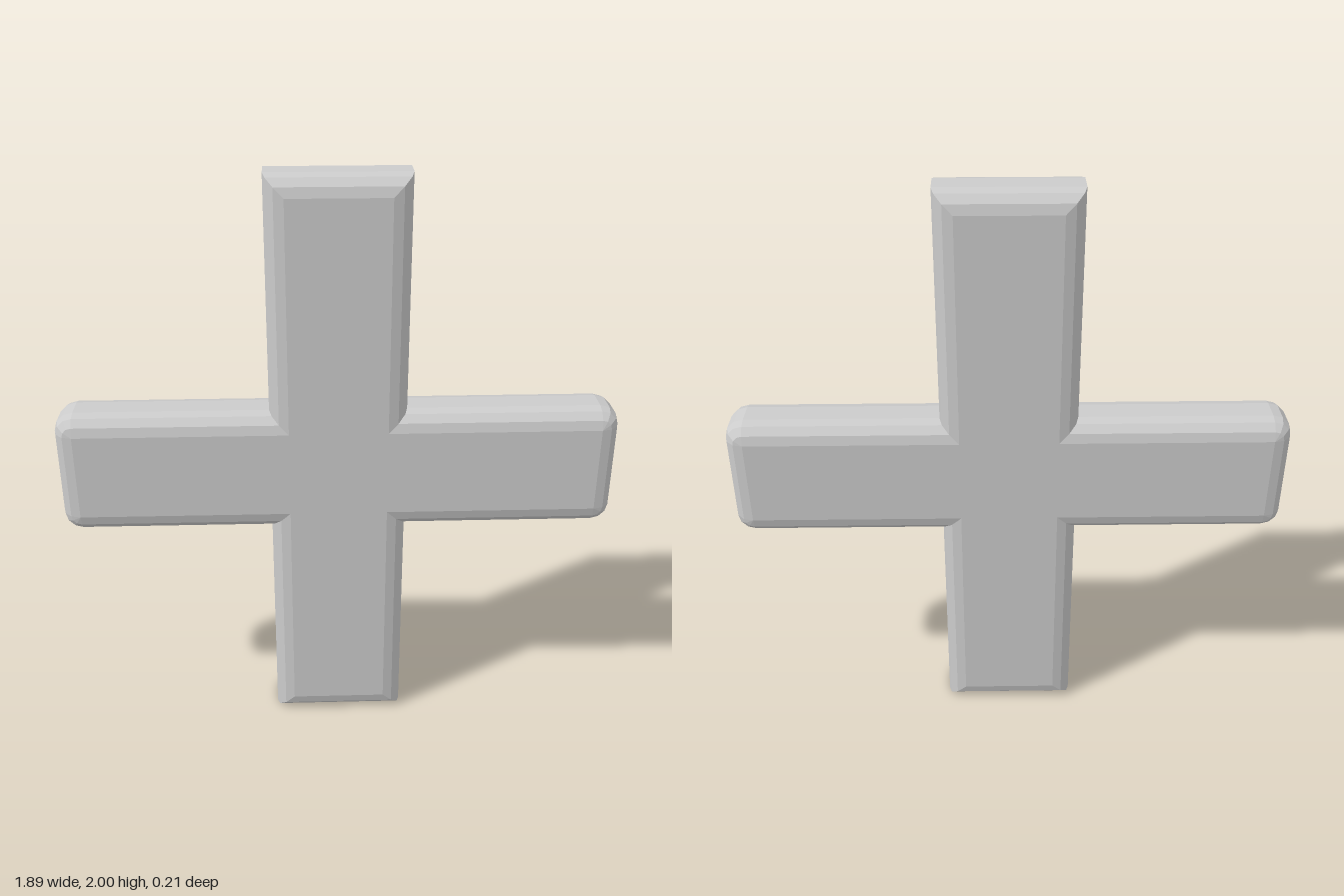
import * as THREE from 'three';
import { ConvexGeometry } from 'three/addons/geometries/ConvexGeometry.js';

const DEPTH = 0.106; // half thickness of both bars
const BEVEL = 0.065;
const STEPS = 3;

// Bar with mitred corners: only the front and back rims are rounded
function mitredBar(halfW, halfH) {
  const w = halfW - BEVEL, h = halfH - BEVEL;
  const shape = new THREE.Shape();
  shape.moveTo(-w, -h).lineTo(w, -h).lineTo(w, h).lineTo(-w, h).closePath();
  const depth = 2 * (DEPTH - BEVEL);
  const geometry = new THREE.ExtrudeGeometry(shape, {
    depth, bevelEnabled: true, bevelSize: BEVEL, bevelThickness: BEVEL, bevelSegments: STEPS,
  });
  return geometry.translate(0, 0, -depth / 2);
}

// Bar rounded on every edge: hull of eight faceted sphere octants
function roundedBar(halfW, halfH) {
  const points = [];
  for (const sx of [-1, 1]) for (const sy of [-1, 1]) for (const sz of [-1, 1]) {
    for (let i = 0; i <= STEPS; i++) {
      const lat = (i / STEPS) * Math.PI / 2;
      const around = i === STEPS ? 0 : STEPS;
      for (let j = 0; j <= around; j++) {
        const lon = (j / STEPS) * Math.PI / 2;
        points.push(new THREE.Vector3(
          sx * (halfW - BEVEL + BEVEL * Math.cos(lat) * Math.cos(lon)),
          sy * (halfH - BEVEL + BEVEL * Math.cos(lat) * Math.sin(lon)),
          sz * (DEPTH - BEVEL + BEVEL * Math.sin(lat))));
      }
    }
  }
  return new ConvexGeometry(points);
}

export function createModel() {
  const group = new THREE.Group();
  group.name = 'cross';
  const material = new THREE.MeshStandardMaterial({ color: 0xcccccc, flatShading: true });

  const upright = new THREE.Mesh(mitredBar(0.23, 1), material);
  upright.name = 'uprightBar';
  upright.position.y = 1;

  const crossbar = new THREE.Mesh(roundedBar(0.944, 0.214), material);
  crossbar.name = 'crossBar';
  crossbar.position.y = 1.004;

  group.add(upright, crossbar);
  return group;
}
